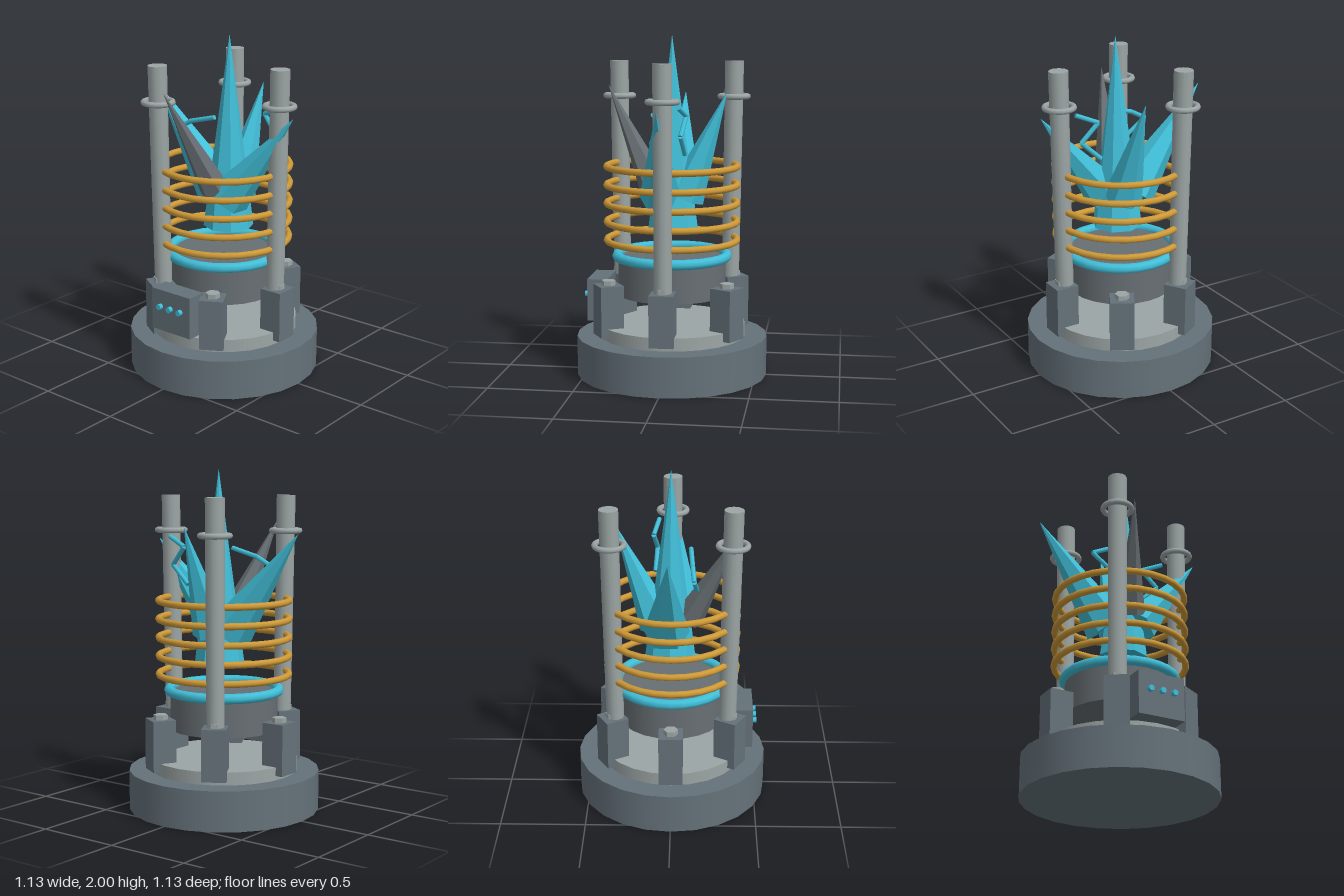
import * as THREE from 'three';

const mat = (name, color) => {
  const m = new THREE.MeshStandardMaterial({ color });
  m.name = name;
  return m;
};

export function createModel() {
  const model = new THREE.Group();
  const steel = mat('dark steel', 0x65727a);
  const iron = mat('iron grey', 0x686f74);
  const light = mat('light metal', 0x9ca5a5);
  const gold = mat('copper gold', 0xcf9a38);
  const cyan = mat('energy cyan', 0x41bfd9);

  const add = (name, geo, material, x = 0, y = 0, z = 0, parent = model) => {
    const mesh = new THREE.Mesh(geo, material);
    mesh.name = name;
    mesh.position.set(x, y, z);
    parent.add(mesh);
    return mesh;
  };
  // Upright cylinder from y0 to y1
  const drum = (name, r, y0, y1, material, sides = 24) =>
    add(name, new THREE.CylinderGeometry(r, r, y1 - y0, sides), material, 0, (y0 + y1) / 2, 0);
  // Horizontal ring
  const ring = (name, R, r, y, material, x = 0, z = 0, segs = 28) =>
    add(name, new THREE.TorusGeometry(R, r, 8, segs).rotateX(Math.PI / 2), material, x, y, z);
  // Tapered cylinder between two points; faceted when flat
  const between = (name, a, b, ra, rb, sides, material, flat = false) => {
    const p = new THREE.Vector3(...a), q = new THREE.Vector3(...b);
    const dir = q.clone().sub(p);
    let geo = new THREE.CylinderGeometry(rb, ra, dir.length(), sides);
    if (flat) {
      geo = geo.toNonIndexed();
      geo.computeVertexNormals();
    }
    const mesh = add(name, geo, material);
    mesh.position.copy(p).add(q).multiplyScalar(0.5);
    mesh.quaternion.setFromUnitVectors(new THREE.Vector3(0, 1, 0), dir.normalize());
    return mesh;
  };

  // Base, pedestal and floating reactor drum
  drum('base', 0.565, 0, 0.235, steel);
  drum('pedestal', 0.435, 0.235, 0.31, light);
  drum('reactorDrum', 0.32, 0.48, 0.705, iron);
  ring('glowRing', 0.325, 0.03, 0.71, cyan);

  // Coil rings
  for (let i = 0; i < 5; i++) ring('coil', 0.385, 0.02, 0.805 + i * 0.109, gold);

  // Six support blocks with bolts; every other one carries a rod
  for (let i = 0; i < 6; i++) {
    const a = (i * Math.PI) / 3, c = Math.cos(a), s = Math.sin(a);
    const post = new THREE.Group();
    post.name = 'supportPost';
    post.rotation.y = -a;
    model.add(post);
    add('supportBlock', new THREE.BoxGeometry(0.14, 0.3, 0.14), steel, 0.4, 0.41, 0, post);
    const bolt = new THREE.CylinderGeometry(1, 1, 0.028, 6).toNonIndexed();
    bolt.scale(0.042, 1, 0.042);
    bolt.computeVertexNormals();
    add('bolt', bolt, light, 0.4, 0.574, 0, post);
    if (i % 2 === 0) {
      between('rod', [0.382 * c, 0.56, 0.382 * s], [0.4 * c, 1.85, 0.4 * s], 0.052, 0.056, 12, light);
      ring('rodCollar', 0.083, 0.017, 1.64, light, 0.398 * c, 0.398 * s, 20);
    }
  }

  // Control panel with indicator lights
  add('controlPanel', new THREE.BoxGeometry(0.285, 0.25, 0.12), steel, 0, 0.453, 0.425);
  for (const x of [-0.074, 0, 0.074])
    add('indicator', new THREE.CylinderGeometry(0.017, 0.017, 0.03, 10).rotateX(Math.PI / 2), cyan, x, 0.477, 0.495);

  // Crystal cluster: base centre, tip, base radius
  const crystals = [
    ['centreCrystal', [0.025, 0.868, -0.01], [0.035, 2.0, -0.005], 0.148, 8, cyan],
    ['rightShard', [0.08, 1.06, 0.055], [0.505, 1.585, 0.02], 0.125, 6, cyan],
    ['leftShard', [-0.07, 1.06, -0.03], [-0.53, 1.645, -0.015], 0.135, 6, cyan],
    ['backShard', [0.03, 1.06, -0.08], [0.035, 1.675, -0.325], 0.115, 6, cyan],
    ['darkShard', [0.015, 1.11, 0.1], [-0.11, 1.705, 0.395], 0.09, 6, iron],
  ];
  for (const [name, a, b, r, sides, m] of crystals) between(name, a, b, r, 0.001, sides, m, true);

  // Energy arcs
  const arcs = [
    [[0.34, 1.605, -0.08], [0.21, 1.55, -0.11], [0.31, 1.44, -0.09], [0.19, 1.33, -0.1]],
    [[0.02, 1.54, 0.11], [-0.15, 1.495, 0.12], [-0.25, 1.44, 0.13], [-0.14, 1.35, 0.145]],
  ];
  for (const pts of arcs)
    for (let i = 0; i < pts.length - 1; i++)
      between('energyArc', pts[i], pts[i + 1], 0.014, 0.014, 8, cyan);

  return model;
}
